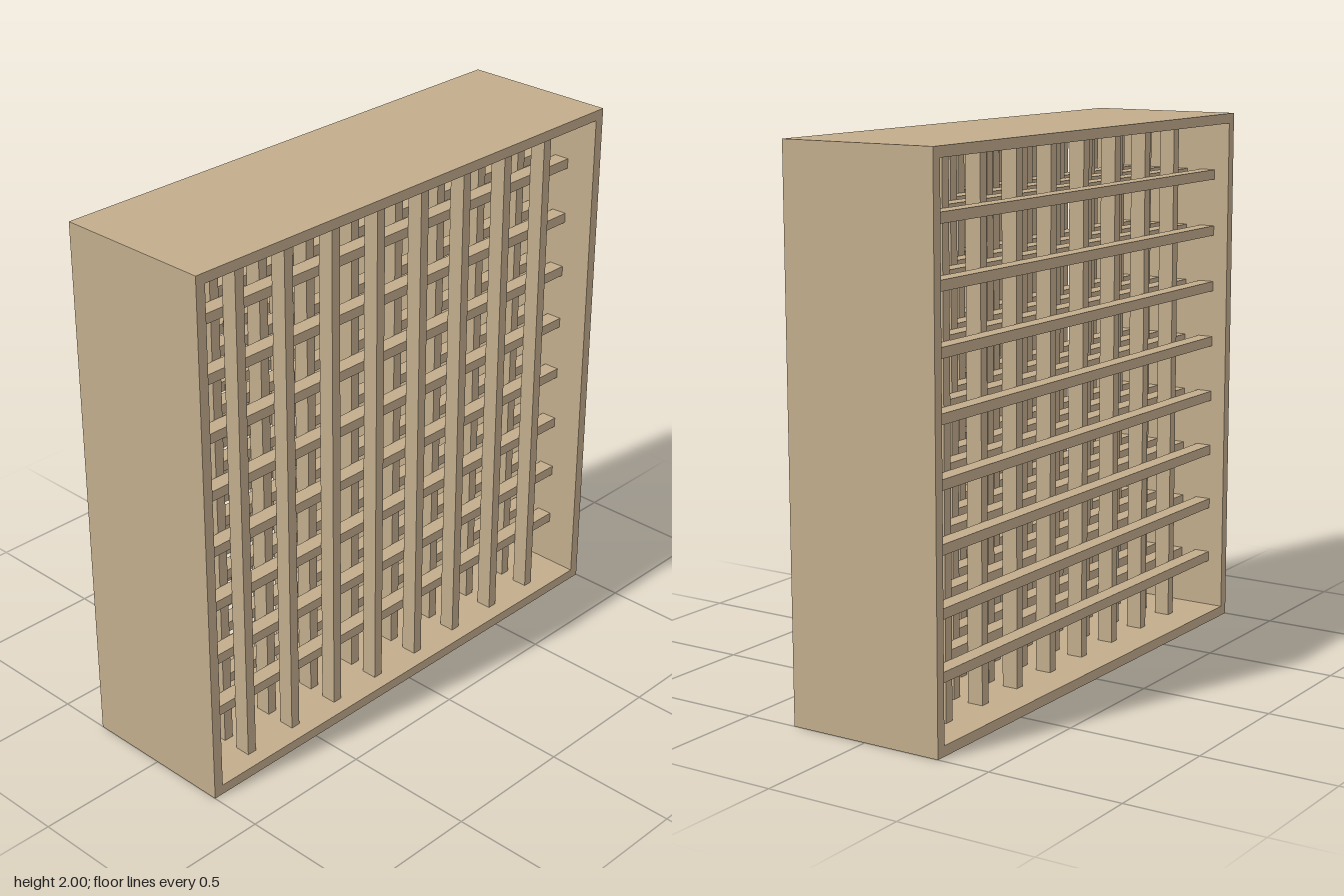
import * as THREE from 'three';

const SIZE = 2, DEPTH = 0.6, T = 0.0375;   // frame size and board thickness
const BARS = 8, LAYERS = 8, LAYER = 0.06;  // slats per layer, layers front to back
const PITCH = (SIZE - T) / (BARS + 1);

export function createModel() {
  const model = new THREE.Group();
  model.name = 'latticeScreen';
  const wood = new THREE.MeshStandardMaterial({ color: 0xc2ad8c });
  wood.name = 'tan wood';

  const addBox = (parent, name, w, h, d, x, y, z) => {
    const mesh = new THREE.Mesh(new THREE.BoxGeometry(w, h, d), wood);
    mesh.name = name;
    mesh.position.set(x, y, z);
    parent.add(mesh);
  };

  // Outer frame: one square ring, open at front and back
  const half = SIZE / 2, inner = half - T;
  const square = (r) => [[-r, -r], [r, -r], [r, r], [-r, r]].map(([x, y]) => new THREE.Vector2(x, y));
  const ring = new THREE.Shape(square(half));
  ring.holes.push(new THREE.Path(square(inner).reverse()));
  const frame = new THREE.Mesh(
    new THREE.ExtrudeGeometry(ring, { depth: DEPTH, bevelEnabled: false }), wood);
  frame.name = 'frame';
  frame.position.set(0, half, -DEPTH / 2);
  model.add(frame);

  // Stacked slat layers: upright at the front, then alternating with level ones
  const length = SIZE - 2 * T;
  for (let k = 0; k < LAYERS; k++) {
    const upright = k % 2 === 0;
    const layer = new THREE.Group();
    layer.name = upright ? 'uprightSlats' : 'levelSlats';
    layer.position.set(0, half, (LAYERS / 2 - k - 0.5) * LAYER);
    for (let i = 0; i < BARS; i++) {
      const p = (i - (BARS - 1) / 2) * PITCH;
      if (upright) addBox(layer, 'uprightSlat', T, length, LAYER, p, 0, 0);
      else addBox(layer, 'levelSlat', length, T, LAYER, 0, p, 0);
    }
    model.add(layer);
  }
  return model;
}
